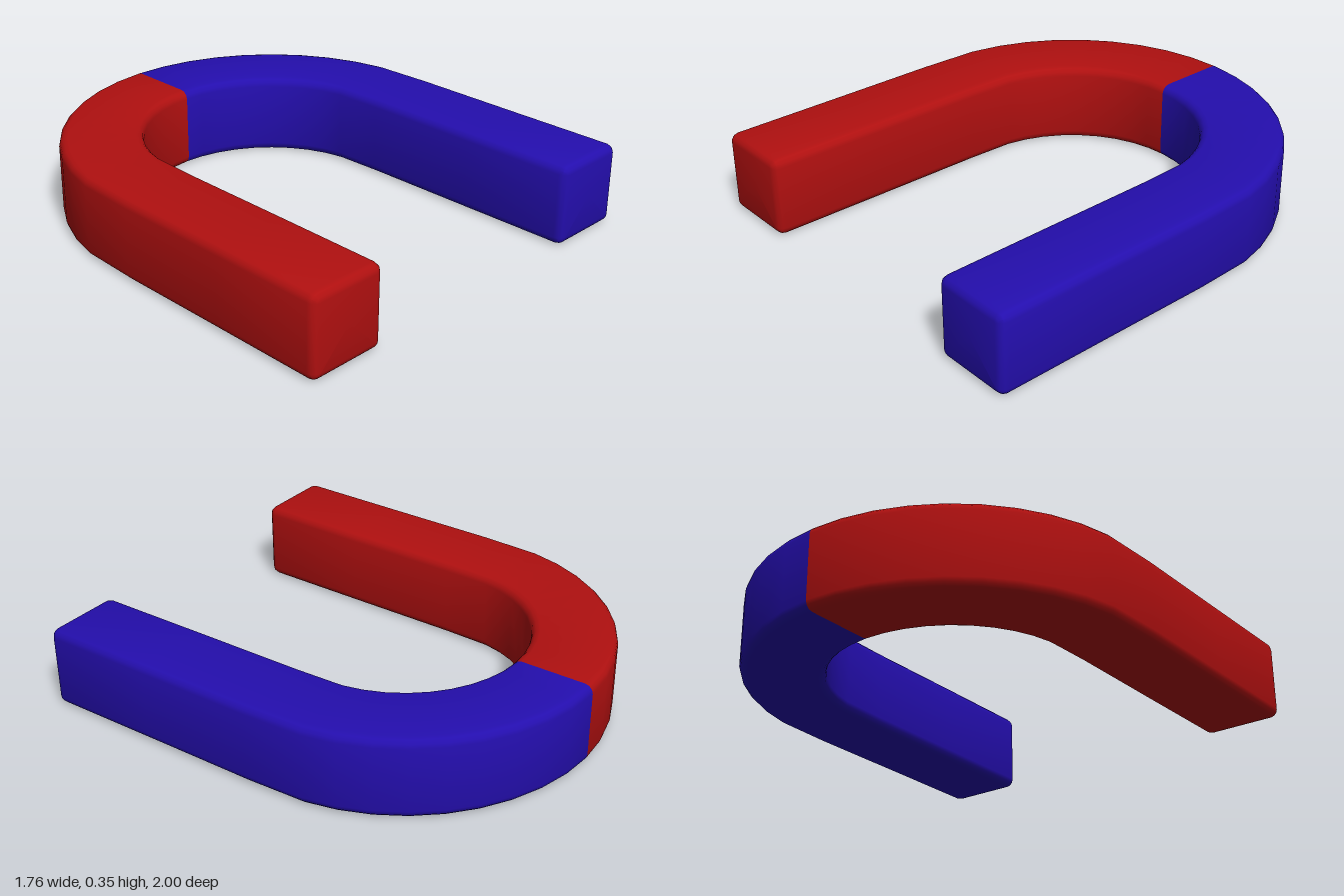
import * as THREE from 'three';
import { toCreasedNormals } from 'three/addons/utils/BufferGeometryUtils.js';

const HALF = 0.174;   // half the width of the square bar
const ROUND = 0.035;  // edge rounding
const BEND = 0.697;   // centre-line radius of the bend
const BEND_Z = -0.128;
const MID_Y = 0.179;

// Rounded-square cross-section, counter-clockwise
function section(inset) {
  const r = Math.max(ROUND - inset, 0.002);
  const c = HALF - inset - r;
  const points = [];
  for (let k = 0; k < 4; k++) {
    const mid = Math.PI / 4 + k * Math.PI / 2;
    const su = Math.sign(Math.cos(mid)), sv = Math.sign(Math.sin(mid));
    for (let s = 0; s < 4; s++) {
      const a = (k + s / 3) * Math.PI / 2;
      points.push([su * c + r * Math.cos(a), sv * c + r * Math.sin(a)]);
    }
  }
  return points;
}

// Half of the horseshoe, swept from the crown of the bend to the pole tip
function halfGeometry(side) {
  const stations = [];
  for (let i = 0; i <= 9; i++) {
    const a = i * Math.PI / 20;
    stations.push({ x: BEND * Math.sin(a), z: BEND_Z - BEND * Math.cos(a), nx: Math.sin(a), nz: -Math.cos(a), inset: 0 });
  }
  // straight leg, spreading very slightly towards the tip
  for (const [x, z] of [[0.698, 0], [0.701, 0.5], [0.705, 1 - ROUND]]) {
    stations.push({ x, z, nx: 1, nz: 0, inset: 0 });
  }
  // rounded tip
  for (let i = 1; i <= 3; i++) {
    const a = i * Math.PI / 6;
    stations.push({ x: 0.705, z: 1 - ROUND + ROUND * Math.sin(a), nx: 1, nz: 0, inset: ROUND * (1 - Math.cos(a)) });
  }

  const pos = [], index = [];
  for (const s of stations) {
    for (const [u, v] of section(s.inset)) pos.push(side * (s.x + s.nx * u), MID_Y + v, s.z + s.nz * u);
  }
  const n = 16, last = (stations.length - 1) * n, centre = stations.length * n;
  pos.push(side * 0.705, MID_Y, 1);
  const tri = (a, b, c) => (side > 0 ? index.push(a, b, c) : index.push(a, c, b));
  for (let j = 0; j < n; j++) {
    const k = (j + 1) % n;
    for (let i = 0; i < last; i += n) {
      tri(i + j, i + k, i + n + j);
      tri(i + k, i + n + k, i + n + j);
    }
    tri(centre, last + j, last + k);
  }
  const geometry = new THREE.BufferGeometry();
  geometry.setAttribute('position', new THREE.Float32BufferAttribute(pos, 3));
  geometry.setIndex(index);
  return toCreasedNormals(geometry, 0.65);
}

export function createModel() {
  const red = new THREE.MeshStandardMaterial({ color: 0xb01010 });
  red.name = 'red';
  const blue = new THREE.MeshStandardMaterial({ color: 0x240eae });
  blue.name = 'blue';

  const model = new THREE.Group();
  model.name = 'horseshoeMagnet';
  for (const [name, side, material] of [['leftPole', 1, blue], ['rightPole', -1, red]]) {
    const mesh = new THREE.Mesh(halfGeometry(side), material);
    mesh.name = name;
    model.add(mesh);
  }
  return model;
}
